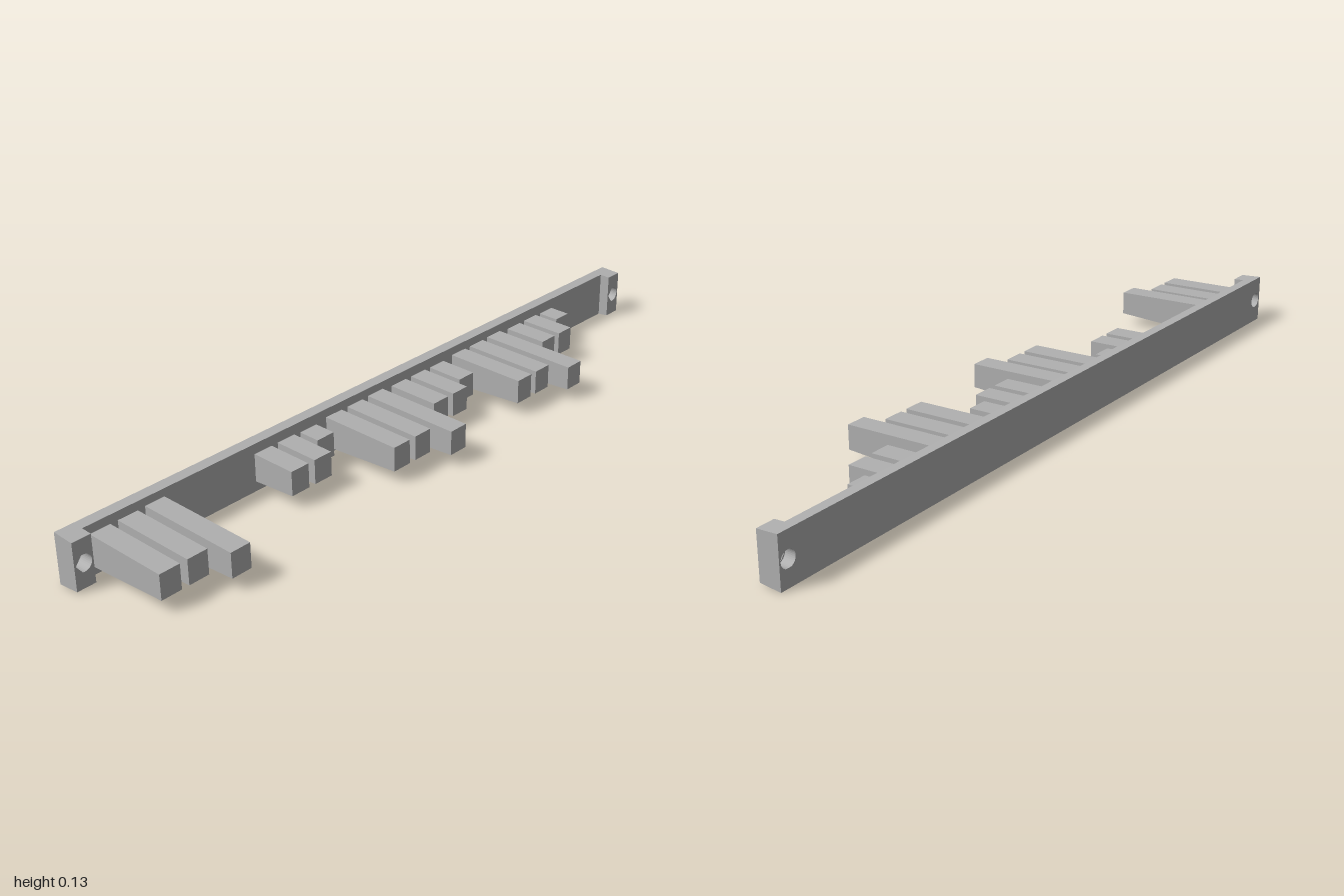
import * as THREE from 'three';

const MID = 0.064;      // height of the centre line
const BACK = -0.149;    // rear face of the rail
const FACE = -0.12;     // front face of the rail
const HOLE_X = 0.975;

// Half height of the rail, drafted slightly towards the front
const railHalf = z => 0.064 - 0.075 * (z - BACK);

// Drafted slab between x0 and x1, pierced by round screw holes
function slab(x0, x1, z0, z1, holes) {
  const shape = new THREE.Shape();
  shape.moveTo(x0, -1).lineTo(x1, -1).lineTo(x1, 1).lineTo(x0, 1).closePath();
  for (const x of holes) {
    const hole = new THREE.Path();
    hole.absarc(x, 0, 0.021, 0, Math.PI * 2, true);
    shape.holes.push(hole);
  }
  const geo = new THREE.ExtrudeGeometry(shape, { depth: z1 - z0, bevelEnabled: false, curveSegments: 16 });
  geo.translate(0, 0, z0);
  const p = geo.attributes.position;
  for (let i = 0; i < p.count; i++) {
    const y = p.getY(i);
    p.setY(i, MID + (Math.abs(y) > 0.9 ? Math.sign(y) * railHalf(p.getZ(i)) : y));
  }
  geo.computeVertexNormals();
  return geo;
}

// Bar whose top and bottom narrow towards a tip of fixed height
function toothGeometry(tip) {
  const length = tip - FACE;
  const geo = new THREE.BoxGeometry(0.055, 2, length);
  geo.translate(0, 0, FACE + length / 2);
  const p = geo.attributes.position;
  for (let i = 0; i < p.count; i++) {
    const half = 0.0315 + 0.038 * (tip - p.getZ(i));
    p.setY(i, MID + Math.sign(p.getY(i)) * half);
  }
  geo.computeVertexNormals();
  return geo;
}

export function createModel() {
  const model = new THREE.Group();
  const grey = new THREE.MeshStandardMaterial({ color: 0xb0b0b0 });
  grey.name = 'grey';
  const add = (name, geo) => {
    const mesh = new THREE.Mesh(geo, grey);
    mesh.name = name;
    model.add(mesh);
    return mesh;
  };

  // Long mounting rail
  add('rail', slab(-1, 1, BACK, FACE, [-HOLE_X, HOLE_X]));

  // Raised mounting pads at both ends
  for (const s of [-1, 1]) {
    add(s > 0 ? 'leftEndPad' : 'rightEndPad',
      slab(s * HOLE_X - 0.025, s * HOLE_X + 0.025, FACE, -0.092, [s * HOLE_X]));
  }

  // Groups of three teeth: centre of the first, then the z of each tip
  const long = [0.1, 0.1, 0.149];
  const medium = [0.02, 0.02, -0.02];
  const short = [0, 0, -0.063];
  const groups = [[-0.906, long], [-0.43, short], [-0.191, long],
    [0.048, medium], [0.288, long], [0.528, short]];
  groups.forEach(([x, tips], g) => tips.forEach((tip, i) => {
    add(`tooth${g * 3 + i + 1}`, toothGeometry(tip)).position.x = x + i * 0.075;
  }));

  return model;
}
